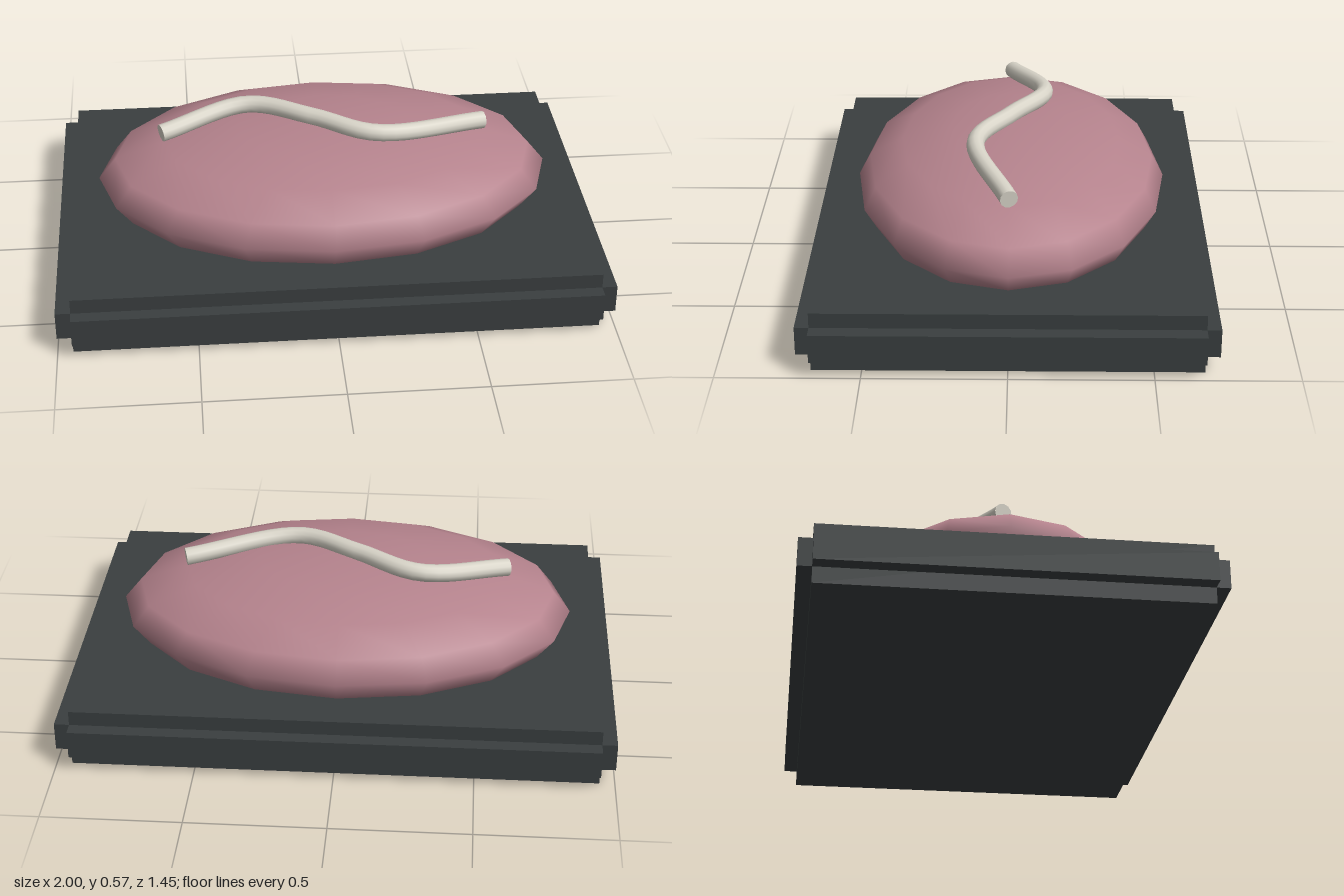
import * as THREE from 'three';

export function createModel() {
  const model = new THREE.Group();
  const paint = (color) => new THREE.MeshStandardMaterial({ color });
  const dark = paint(0x3a3f40), pink = paint(0xb5838d), ivory = paint(0xd8d4c8);

  const add = (name, geometry, material, x = 0, y = 0, z = 0) => {
    const mesh = new THREE.Mesh(geometry, material);
    mesh.name = name;
    mesh.position.set(x, y, z);
    model.add(mesh);
    return mesh;
  };

  // Tray with a raised strip along each side
  add('tray', new THREE.BoxGeometry(1.89, 0.22, 1.35), dark, 0, 0.11, 0);
  for (const s of [-1, 1]) {
    add('sideStrip', new THREE.BoxGeometry(0.055, 0.105, 1.35), dark, s * 0.9725, 0.1125, 0);
    add('endStrip', new THREE.BoxGeometry(1.89, 0.105, 0.051), dark, 0, 0.1125, s * 0.7);
  }

  // Flattened oval slab, sunk into the tray
  const slab = new THREE.SphereGeometry(1, 16, 8);
  slab.scale(0.845, 0.211, 0.575);
  add('slab', slab, pink, 0, 0.305, 0);

  // Wavy strand lying over the slab
  const path = new THREE.CatmullRomCurve3([
    [-0.605, 0.488, 0], [-0.28, 0.525, -0.127], [-0.04, 0.533, 0],
    [0.19, 0.524, 0.127], [0.605, 0.488, 0],
  ].map((p) => new THREE.Vector3(...p)));
  const radius = 0.033;
  add('strand', new THREE.TubeGeometry(path, 32, radius, 12), ivory);

  // Flat ends of the strand
  for (const t of [0, 1]) {
    const p = path.getPointAt(t);
    const cap = add('strandEnd', new THREE.CircleGeometry(radius, 12), ivory, p.x, p.y, p.z);
    const outward = path.getTangentAt(t).multiplyScalar(t ? 1 : -1);
    cap.quaternion.setFromUnitVectors(new THREE.Vector3(0, 0, 1), outward);
  }
  return model;
}
